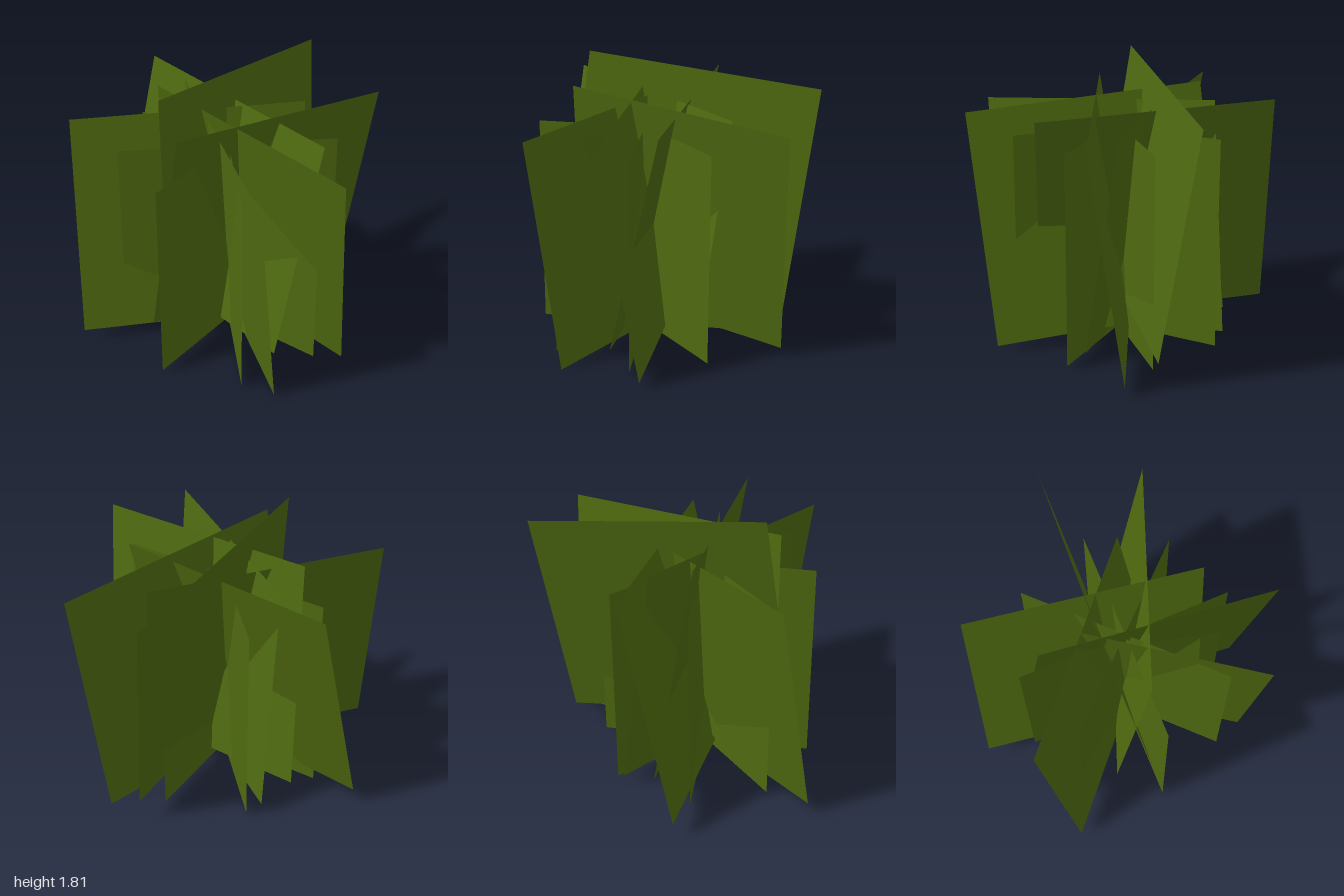
import * as THREE from 'three';

const leafGreen = new THREE.MeshStandardMaterial({ color: 0x4f6a10, side: THREE.DoubleSide });
leafGreen.name = 'leafGreen';

// A flat foliage card spanned by an edge vector and an upward vector from one lower corner.
function card(name, corner, along, up) {
  const a = new THREE.Vector3(...along);
  const u = new THREE.Vector3(...up);
  const n = new THREE.Vector3().crossVectors(a, u).normalize();
  const frame = new THREE.Matrix4().makeBasis(a, u, n).setPosition(...corner);
  const geometry = new THREE.PlaneGeometry(1, 1).translate(0.5, 0.5, 0).applyMatrix4(frame);
  const mesh = new THREE.Mesh(geometry, leafGreen);
  mesh.name = name;
  return mesh;
}

export function createModel() {
  const plant = new THREE.Group();
  plant.name = 'foliageClump';

  // Four upright cards crossing at the middle: half extents in x and z
  const uprights = [[0.685, 0.02], [0.49, 0.48], [-0.015, 0.69], [0.495, -0.475]];
  uprights.forEach(([hx, hz], i) => {
    plant.add(card(`uprightLeafCard${i + 1}`,
      [-0.025 - hx, 0.03, -0.02 - hz], [2 * hx, 0, 2 * hz], [0, 1.37, 0]));
  });

  // Six leaning cards: lower corner, edge direction, upward direction
  const leaning = [
    [[-0.70, 0.13, -0.76], [0.91, -0.07, 1.19], [0.305, 1.455, -0.15]],
    [[-0.457, 0.34, 0.355], [1.113, -0.16, -0.968], [0, 1.475, -0.25]],
    [[-0.545, 0.16, 0.13], [1.362, -0.10, -0.60], [0.172, 1.475, 0.16]],
    [[-1.0, 0.09, 0.055], [1.49, -0.04, -0.093], [0.015, 1.47, -0.245]],
    [[0.155, 0.005, 0.757], [-0.26, 0.09, -1.48], [-0.125, 1.485, 0.145]],
    [[0.64, 0.05, 0.51], [-0.96, 0.11, -1.15], [-0.10, 1.48, 0.24]],
  ];
  leaning.forEach(([corner, along, up], i) => {
    plant.add(card(`leaningLeafCard${i + 1}`, corner, along, up));
  });

  return plant;
}
